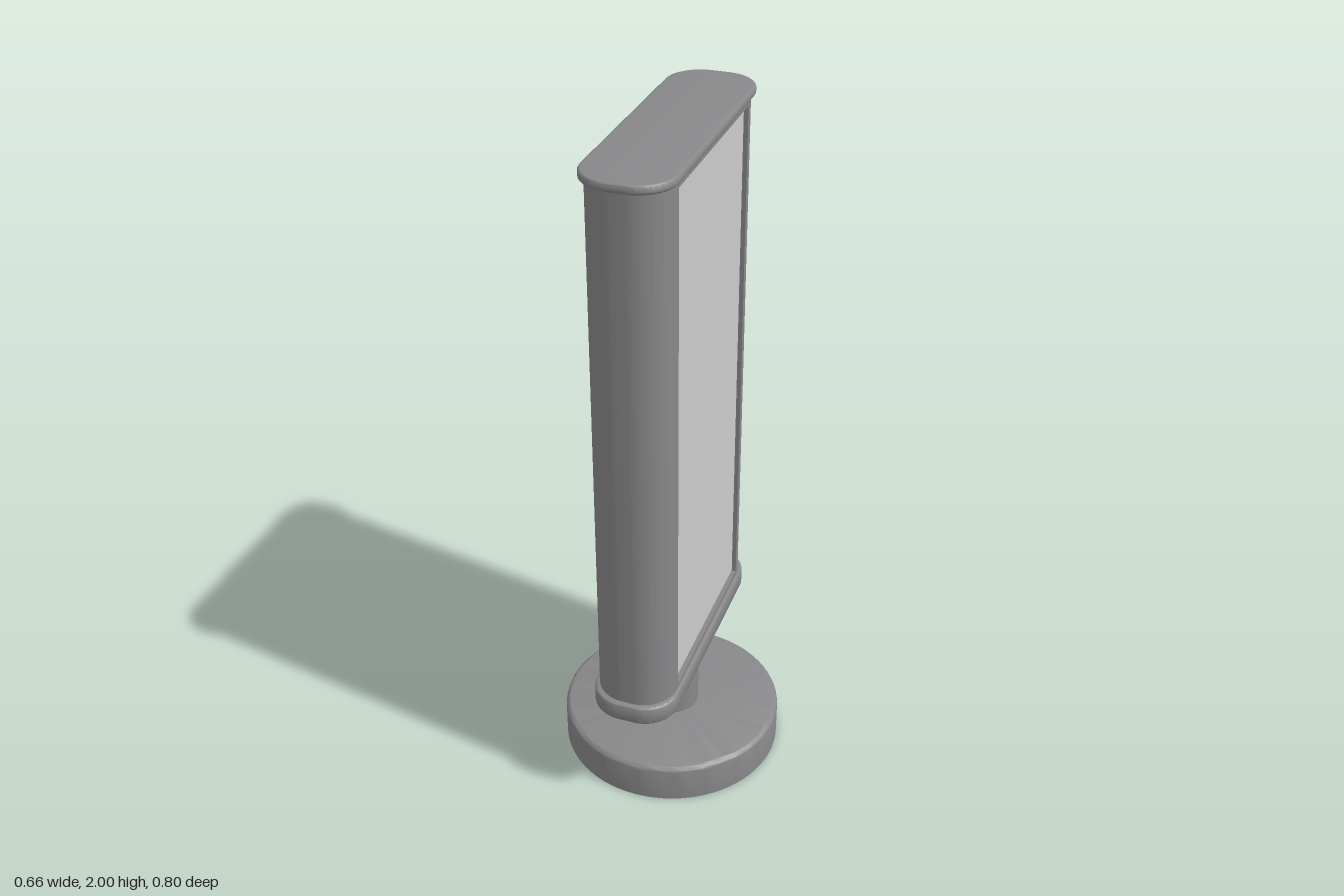
import * as THREE from 'three';
import { toCreasedNormals } from 'three/addons/utils/BufferGeometryUtils.js';

const frameMat = new THREE.MeshStandardMaterial({ color: 0x88888a });
const panelMat = new THREE.MeshStandardMaterial({ color: 0xcccccc });

// Rounded rectangle in plan, half sizes w (x) and d (z); a raised start edge gives a square inner end
function planShape(w, d, r, inner = null) {
  const s = new THREE.Shape();
  const h = Math.PI / 2;
  if (inner === null) {
    s.absarc(-w + r, -d + r, r, 2 * h, 3 * h);
    s.absarc(w - r, -d + r, r, 3 * h, 4 * h);
  } else {
    s.moveTo(-w, inner);
    s.lineTo(w, inner);
  }
  s.absarc(w - r, d - r, r, 0, h);
  s.absarc(-w + r, d - r, r, h, 2 * h);
  s.closePath();
  return s;
}

// Extrude a plan shape upwards from y0 to y1, with softened rims
function extrudeUp(shape, y0, y1, bevel = 0) {
  const geo = new THREE.ExtrudeGeometry(shape, {
    depth: y1 - y0 - 2 * bevel,
    curveSegments: 16,
    bevelEnabled: bevel > 0,
    bevelThickness: bevel,
    bevelSize: bevel,
    bevelOffset: -bevel,
    bevelSegments: 4,
  });
  geo.rotateX(-Math.PI / 2);
  geo.translate(0, y0 + bevel, 0);
  return toCreasedNormals(geo, 0.6);
}

export function createModel() {
  const group = new THREE.Group();
  const add = (name, geo, mat = frameMat) => {
    const mesh = new THREE.Mesh(geo, mat);
    mesh.name = name;
    group.add(mesh);
    return mesh;
  };
  const box = (name, w, y0, y1, d, mat) => {
    add(name, new THREE.BoxGeometry(w, y1 - y0, d), mat).position.y = (y0 + y1) / 2;
  };

  // Round base with a softened top rim
  const R = 0.33, H = 0.12, b = 0.018;
  const profile = [new THREE.Vector2(0, 0), new THREE.Vector2(R, 0)];
  for (let i = 0; i <= 6; i++) {
    const a = (i / 6) * Math.PI / 2;
    profile.push(new THREE.Vector2(R - b + b * Math.cos(a), H - b + b * Math.sin(a)));
  }
  profile.push(new THREE.Vector2(0, H));
  add('base', toCreasedNormals(new THREE.LatheGeometry(profile, 72), 0.6));

  // Pole
  add('pole', new THREE.CylinderGeometry(0.082, 0.082, 0.26, 48)).position.y = 0.24;

  // Bottom and top caps
  add('bottomCap', extrudeUp(planShape(0.124, 0.402, 0.1), 0.355, 0.415, 0.01));
  add('topCap', extrudeUp(planShape(0.124, 0.402, 0.1), 1.975, 2, 0.008));

  // Rounded posts at both ends
  for (const [name, turn] of [['backPost', 0], ['frontPost', Math.PI]]) {
    add(name, extrudeUp(planShape(0.115, 0.386, 0.1, 0.28), 0.41, 1.98)).rotation.y = turn;
  }

  // Rails above and below the display
  box('bottomRail', 0.23, 0.41, 0.432, 0.56);
  box('topRail', 0.23, 1.958, 1.98, 0.56);

  // Recessed core and display panels, one per side
  box('core', 0.19, 0.432, 1.958, 0.56);
  for (const [name, side] of [['leftPanel', 1], ['rightPanel', -1]]) {
    const panel = add(name, new THREE.BoxGeometry(0.012, 1.514, 0.548), panelMat);
    panel.position.set(side * 0.098, 1.195, 0);
  }
  return group;
}
